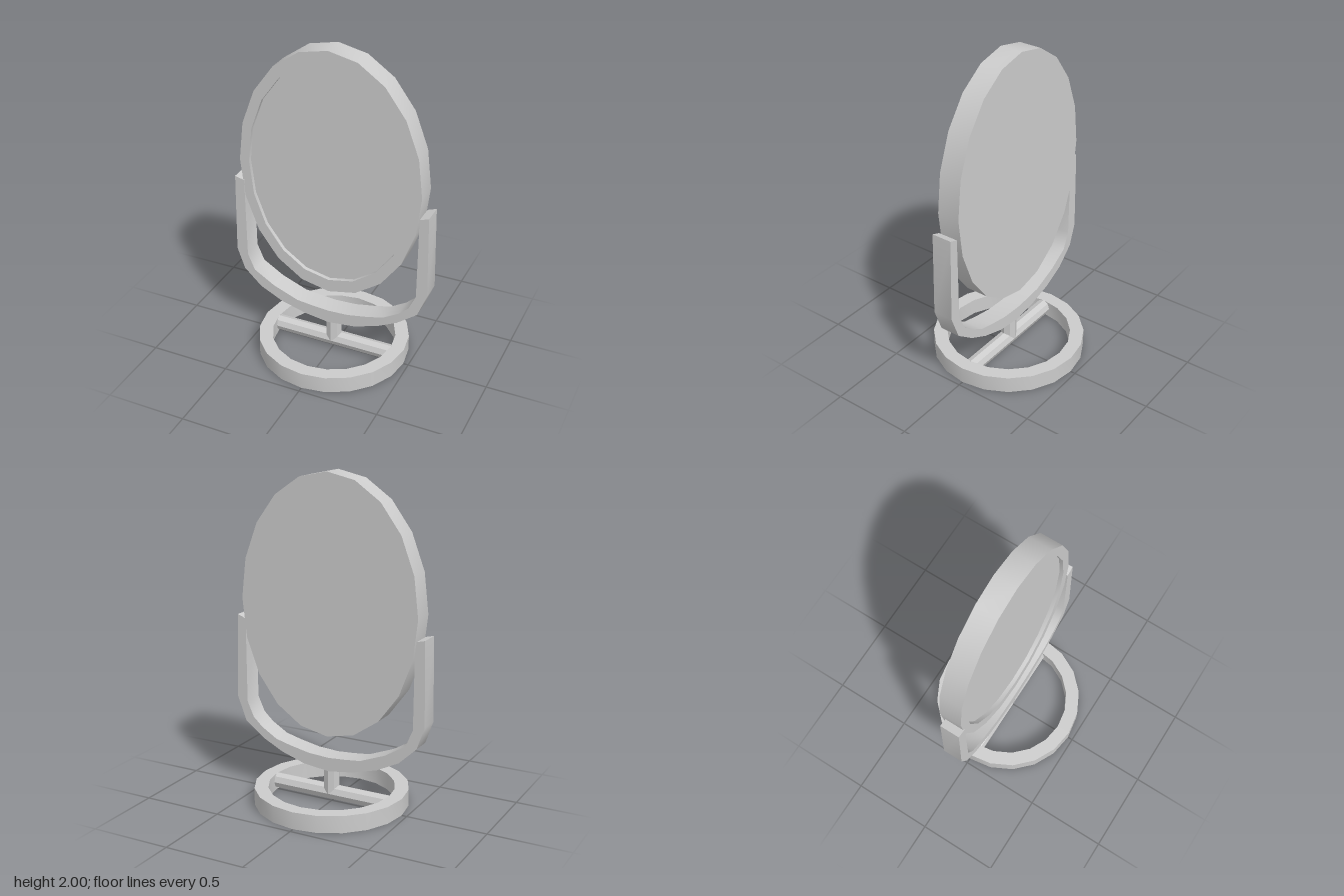
import * as THREE from 'three';
import { toCreasedNormals } from 'three/addons/utils/BufferGeometryUtils.js';

const material = new THREE.MeshStandardMaterial({ color: 0xcccccc });

function addPart(parent, name, geometry) {
  const mesh = new THREE.Mesh(toCreasedNormals(geometry, 0.7), material);
  mesh.name = name;
  parent.add(mesh);
  return mesh;
}

function lathe(points) {
  return new THREE.LatheGeometry(points.map(([r, y]) => new THREE.Vector2(r, y)), 20);
}

export function createModel() {
  const model = new THREE.Group();
  model.name = 'tableMirror';

  // Oval mirror: solid back, raised rim and slightly recessed glass
  const oval = lathe([[0, -0.08], [1, -0.08], [1, 0.06], [0.895, 0.06], [0.895, 0.035], [0, 0.035]]);
  oval.scale(0.572, 1, 0.78).rotateX(Math.PI / 2);
  addPart(model, 'mirror', oval).position.set(-0.01, 1.22, 0);

  // U-shaped yoke: outer edge left to right, then inner edge back again
  const yokeOutline = [
    [-0.618, 1.1], [-0.627, 0.59], [-0.58, 0.455], [-0.47, 0.35], [-0.33, 0.28], [-0.17, 0.235],
    [-0.01, 0.212], [0.16, 0.232], [0.31, 0.28], [0.44, 0.345], [0.565, 0.44], [0.622, 0.59], [0.61, 1.108],
    [0.555, 1.088], [0.553, 0.565], [0.51, 0.47], [0.45, 0.415], [0.35, 0.355], [0.25, 0.33],
    [0.12, 0.305], [-0.01, 0.298], [-0.11, 0.305], [-0.22, 0.317], [-0.38, 0.38], [-0.51, 0.46],
    [-0.555, 0.565], [-0.558, 1.085],
  ];
  const yokeShape = new THREE.Shape(yokeOutline.map(([x, y]) => new THREE.Vector2(x, y)));
  const yoke = new THREE.ExtrudeGeometry(yokeShape, { depth: 0.125, bevelEnabled: false });
  addPart(model, 'yoke', yoke).position.z = -0.06;

  // Stem from the crossbar up into the yoke
  const stem = new THREE.CylinderGeometry(0.05, 0.05, 0.19, 8);
  addPart(model, 'stem', stem).position.set(0, 0.155, 0);

  // Crossbar spanning the base ring
  const bar = new THREE.CylinderGeometry(0.048, 0.048, 0.77, 8).rotateZ(Math.PI / 2);
  addPart(model, 'crossbar', bar).position.set(0, 0.06, 0);

  // Base ring
  addPart(model, 'baseRing', lathe([[0.384, 0], [0.468, 0], [0.468, 0.105], [0.384, 0.105], [0.384, 0]]));

  return model;
}
